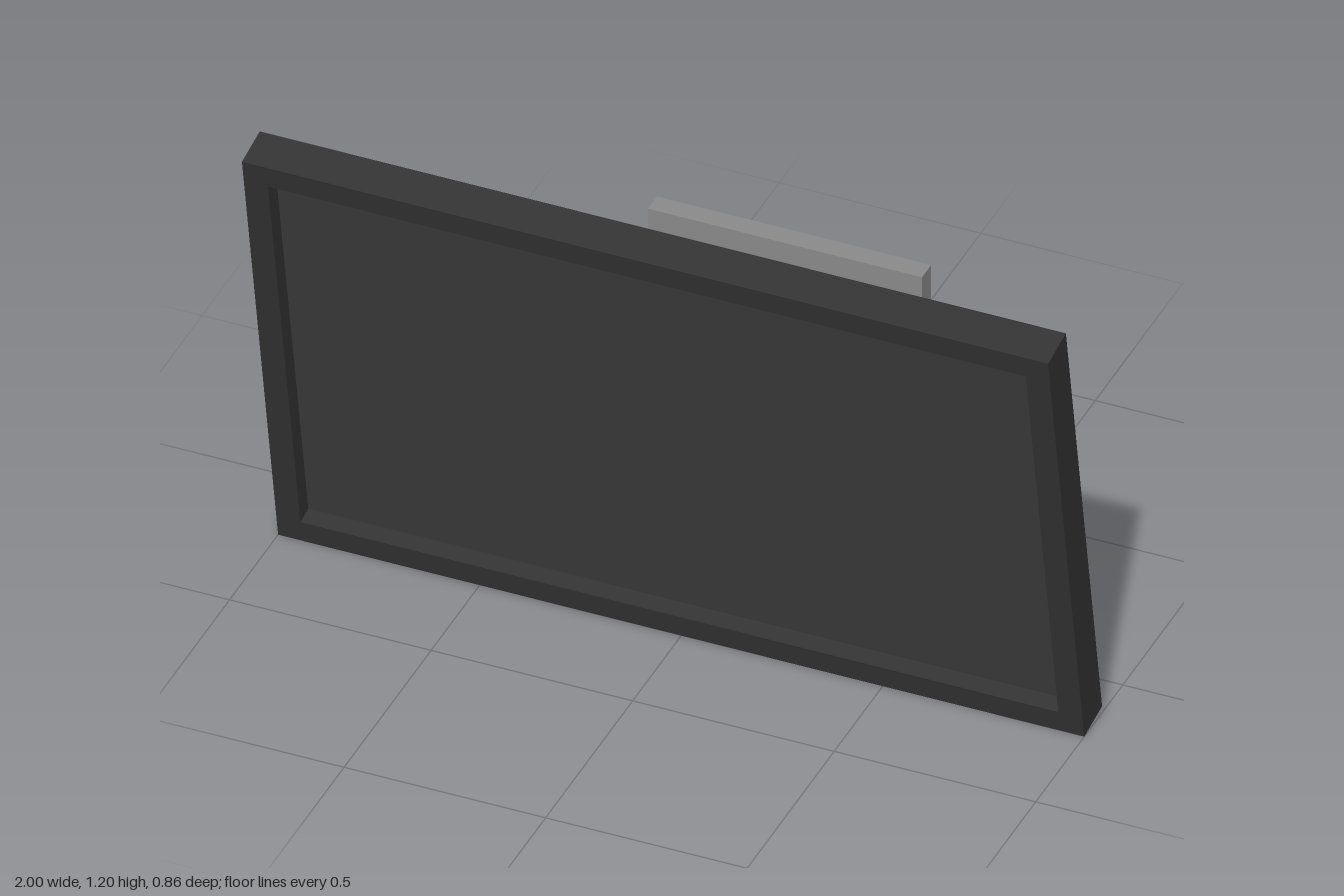
import * as THREE from 'three';

const material = (color) => new THREE.MeshStandardMaterial({ color });

function part(name, geometry, mat, parent) {
  const mesh = new THREE.Mesh(geometry, mat);
  mesh.name = name;
  parent.add(mesh);
  return mesh;
}

// Extrudes a side profile drawn in (z, y) along x, centred on x = 0
function extrudeSide(shape, width) {
  return new THREE.ExtrudeGeometry(shape, { depth: width, bevelEnabled: false, curveSegments: 24 })
    .translate(0, 0, -width / 2)
    .rotateY(-Math.PI / 2);
}

function rectangle(Type, w, h) {
  return new Type([[-w, -h], [w, -h], [w, h], [-w, h]].map(([x, y]) => new THREE.Vector2(x / 2, y / 2)));
}

export function createModel() {
  const model = new THREE.Group();
  model.name = 'wallMountedScreen';
  const dark = material(0x333333);
  const glass = material(0x3c3c3c);
  const steel = material(0x8a8a8a);
  const grey = material(0xcccccc);

  // Screen, tilted forward at the top
  const W = 2, H = 1.197, T = 0.104, border = 0.06, recess = 0.048;
  const screen = new THREE.Group();
  screen.name = 'screen';
  screen.position.set(0, 0.598, 0.274);
  screen.rotation.x = THREE.MathUtils.degToRad(10);
  model.add(screen);

  part('housing', new THREE.BoxGeometry(W, H, T - recess), dark, screen).position.z = -recess / 2;

  const frame = rectangle(THREE.Shape, W, H);
  frame.holes.push(rectangle(THREE.Path, W - 2 * border, H - 2 * border));
  part('bezel', new THREE.ExtrudeGeometry(frame, { depth: recess, bevelEnabled: false }), dark, screen)
    .position.z = T / 2 - recess;

  part('displayPanel', new THREE.BoxGeometry(W - 2 * border, H - 2 * border, 0.004), glass, screen)
    .position.z = T / 2 - recess;

  // Wall plate
  part('wallPlate', new THREE.BoxGeometry(0.68, 0.415, 0.053), steel, model).position.set(0, 0.5, -0.4015);

  // Two arms meeting in a V at the joint
  const jointZ = -0.077;
  const arms = {
    frontArm: [[jointZ, 0.16], [0.195, 0.43], [0.218, 0.567], [jointZ, 0.275]],
    rearArm: [[jointZ, 0.16], [jointZ, 0.275], [-0.376, 0.56], [-0.376, 0.447]],
  };
  for (const [name, points] of Object.entries(arms)) {
    const profile = new THREE.Shape(points.map(([z, y]) => new THREE.Vector2(z, y)));
    part(name, extrudeSide(profile, 0.16), grey, model);
  }

  // Oval hinge rings on both sides of the joint
  const oval = new THREE.Shape().absellipse(0, 0, 0.032, 0.045, 0, Math.PI * 2);
  oval.holes.push(new THREE.Path().absellipse(0, 0, 0.018, 0.028, 0, Math.PI * 2));
  for (const side of [1, -1]) {
    part(side > 0 ? 'leftHingeRing' : 'rightHingeRing', extrudeSide(oval, 0.03), steel, model)
      .position.set(side * 0.08, 0.227, jointZ);
  }

  return model;
}
